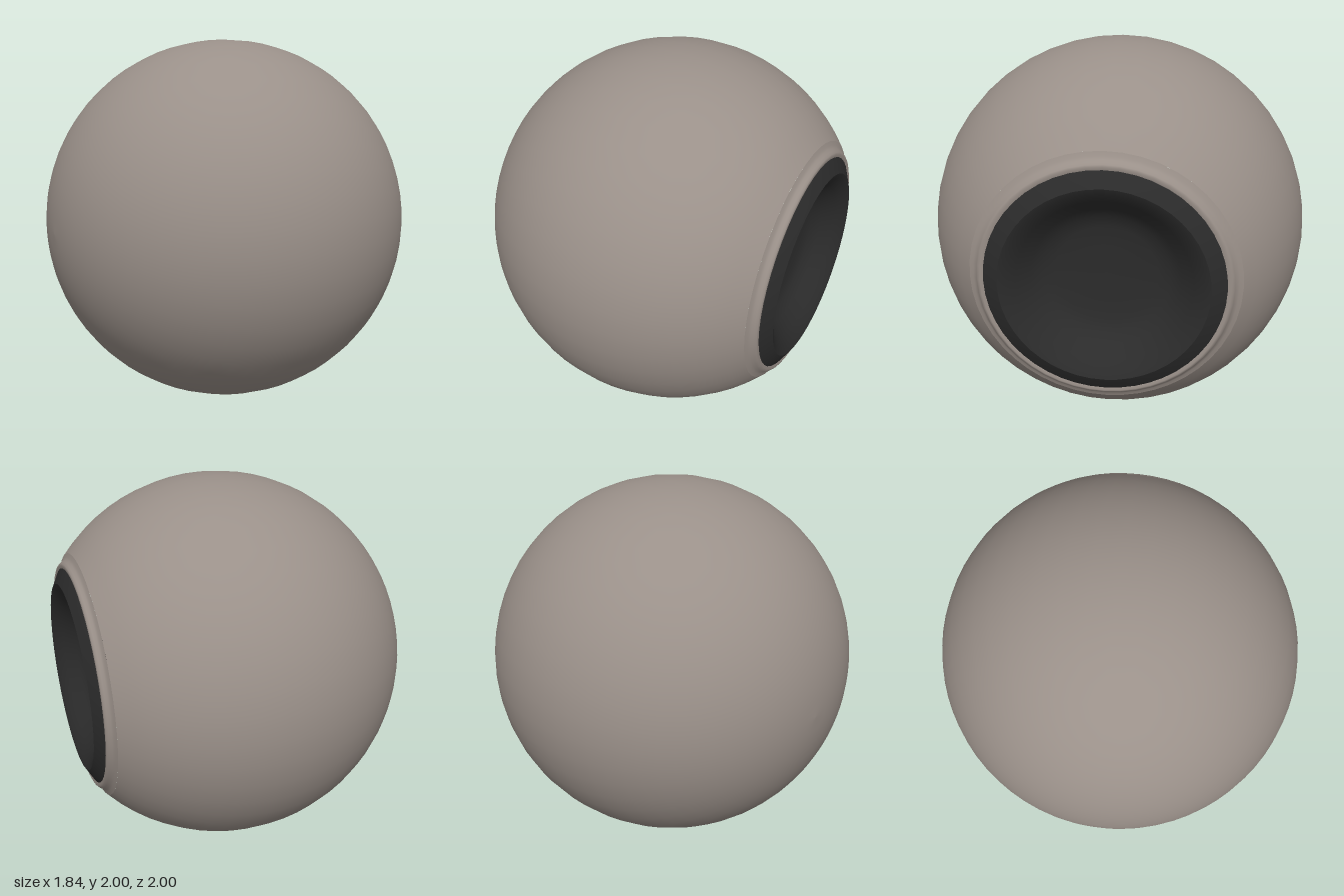
import * as THREE from 'three';

const CENTRE = 0.08; // sphere centre along x
const SIDES = 48;

// Revolve [radius, x] points around the x axis at height 1.
function turned(name, points, material) {
  const profile = points.map(([r, x]) => new THREE.Vector2(r, x));
  const geometry = new THREE.LatheGeometry(profile, SIDES);
  geometry.rotateZ(-Math.PI / 2);
  const mesh = new THREE.Mesh(geometry, material);
  mesh.name = name;
  mesh.position.y = 1;
  return mesh;
}

export function createModel() {
  const shellGrey = new THREE.MeshStandardMaterial({ color: 0x9a9089 });
  shellGrey.name = 'warm grey shell';
  const darkGrey = new THREE.MeshStandardMaterial({ color: 0x2b2b2b });
  darkGrey.name = 'dark grey';

  const model = new THREE.Group();
  model.name = 'roundPod';

  // Spherical shell, cut off on the +x side
  const shell = [];
  const end = Math.PI - Math.asin(0.65);
  for (let i = 0; i <= 28; i++) {
    const a = (end * i) / 28;
    shell.push([Math.sin(a), CENTRE - Math.cos(a)]);
  }
  model.add(turned('shell', shell, shellGrey));

  // Softly rounded lip around the opening
  model.add(turned('openingLip', [
    [0.65, 0.84], [0.63, 0.848], [0.617, 0.857], [0.609, 0.87],
    [0.6, 0.88], [0.59, 0.884], [0.575, 0.88],
  ], shellGrey));

  // Bevelled ring standing just proud of the lip
  model.add(turned('bevelRing', [[0.58, 0.87], [0.575, 0.88], [0.5, 0.92]], darkGrey));

  // Shallow dish with a nearly flat floor
  model.add(turned('dish', [
    [0.5, 0.92], [0.47, 0.908], [0.42, 0.87], [0.36, 0.81],
    [0.31, 0.775], [0.25, 0.755], [0.14, 0.747], [0, 0.745],
  ], darkGrey));

  return model;
}
